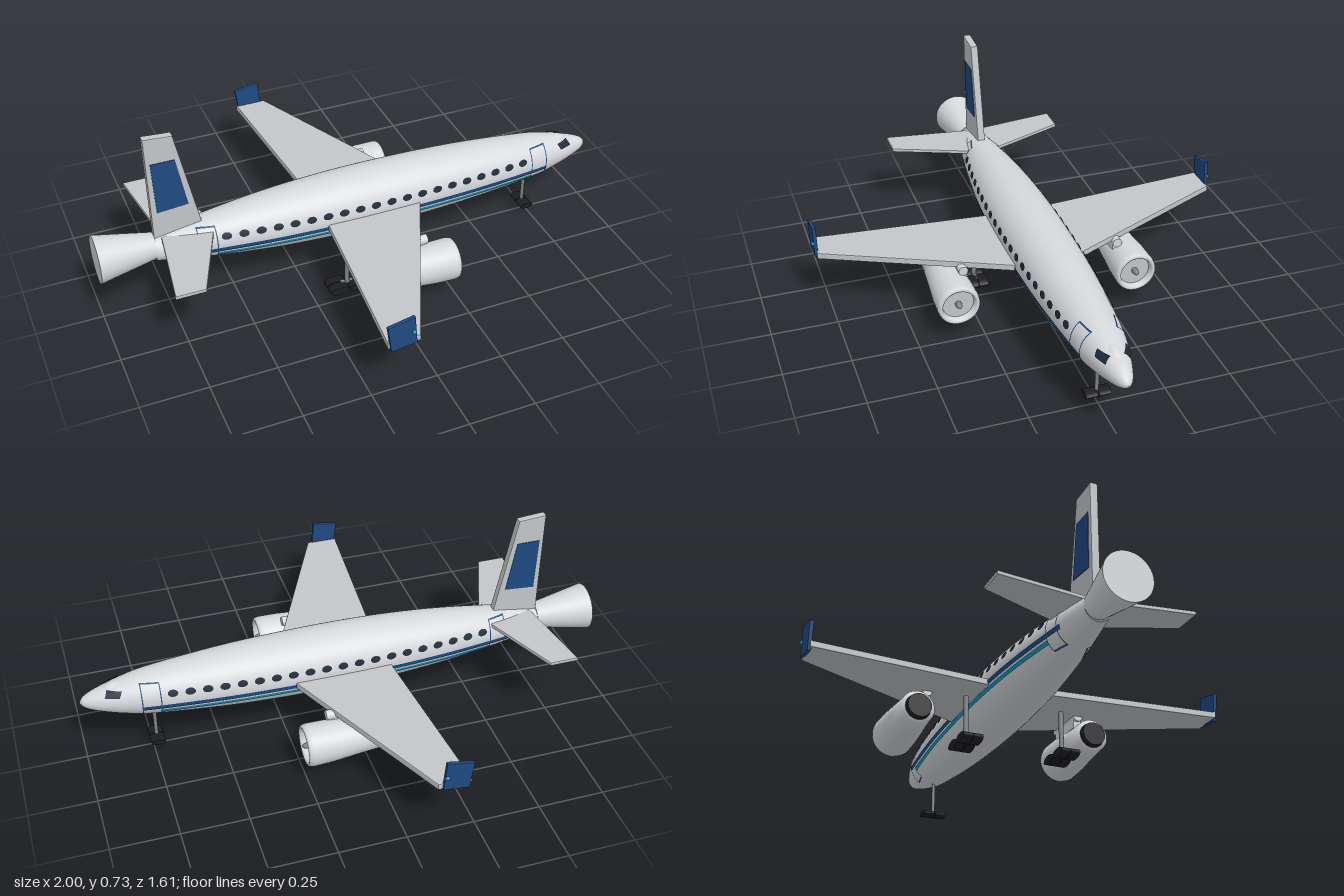
import * as THREE from 'three';

const mat = (name, color, side = THREE.FrontSide) => {
  const m = new THREE.MeshStandardMaterial({ color, side });
  m.name = name;
  return m;
};

export function createModel() {
  const root = new THREE.Group();
  root.name = 'airliner';
  const body = mat('body white', 0xd6d9dc);
  const wing = mat('wing grey', 0xc3c6ca);
  const blue = mat('livery blue', 0x1f4a82, THREE.DoubleSide);
  const teal = mat('accent teal', 0x1597bd, THREE.DoubleSide);
  const glass = mat('window glass', 0x1c2a3a, THREE.DoubleSide);
  const metal = mat('strut metal', 0x80848a);
  const black = mat('tyre black', 0x1d1e22);

  const add = (name, geo, material, x = 0, y = 0, z = 0, parent = root) => {
    const m = new THREE.Mesh(geo, material);
    m.name = name;
    m.position.set(x, y, z);
    parent.add(m);
    return m;
  };

  // Fuselage: profile (radius, x) turned around the long axis
  const CY = 0.262;
  const profile = new THREE.SplineCurve([
    [0.05, -0.79], [0.083, -0.58], [0.113, -0.3], [0.125, 0.02], [0.117, 0.4],
    [0.091, 0.72], [0.07, 0.84], [0.041, 0.94], [0.02, 0.985], [0, 1],
  ].map(([r, x]) => new THREE.Vector2(r, x))).getPoints(70);
  profile[profile.length - 1].x = 0;
  const radiusAt = (x) => {
    const i = Math.max(1, profile.findIndex((p) => p.y >= x));
    const a = profile[i - 1], b = profile[i];
    return THREE.MathUtils.lerp(a.x, b.x, (x - a.y) / (b.y - a.y));
  };
  const lathe = (pts, seg = 48) => new THREE.LatheGeometry(pts, seg).rotateZ(-Math.PI / 2);
  add('fuselage', lathe(profile), body, 0, CY, 0);

  // Flared tail cone with closed end
  add('tailCone', new THREE.CylinderGeometry(0.049, 0.09, 0.215, 40).rotateZ(-Math.PI / 2), body, -0.8925, 0.27, 0);

  // Cockpit hump
  add('cockpitHump', new THREE.SphereGeometry(1, 24, 16).scale(0.065, 0.033, 0.034), body, 0.855, 0.295, 0);

  // Lays a flat (x, y) geometry on the fuselage skin
  const wrap = (name, geo, material, side, lift = 0.003) => {
    const p = geo.attributes.position;
    for (let i = 0; i < p.count; i++) {
      const x = p.getX(i), dy = p.getY(i) - CY, r = radiusAt(x) + lift;
      const a = Math.asin(THREE.MathUtils.clamp(dy / r, -1, 1));
      p.setXYZ(i, x, CY + r * Math.sin(a), side * r * Math.cos(a));
    }
    geo.computeVertexNormals();
    return add(name, geo, material);
  };
  const strip = (x0, x1, y0, y1, nx, ny) =>
    new THREE.PlaneGeometry(x1 - x0, y1 - y0, nx, ny).translate((x0 + x1) / 2, (y0 + y1) / 2, 0);

  for (const s of [1, -1]) {
    wrap('blueStripe', strip(-0.655, 0.785, 0.236, 0.253, 60, 2), blue, s);
    wrap('tealStripe', strip(-0.57, 0.72, 0.215, 0.229, 60, 2), teal, s);
    for (let i = 0; i < 20; i++) {
      const g = new THREE.CircleGeometry(1, 16).scale(0.019, 0.013, 1).translate(-0.535 + i * 0.0635, 0.298, 0);
      wrap('cabinWindow', g, glass, s, 0.004);
    }
    // Door outlines
    for (const [x0, x1, h] of [[-0.635, -0.57, 0.07], [0.715, 0.783, 0.073]]) {
      for (const x of [x0, x1]) wrap('doorEdge', strip(x - 0.002, x + 0.002, CY - h, CY + h, 1, 20), blue, s, 0.002);
      for (const y of [CY - h, CY + h - 0.004]) wrap('doorSill', strip(x0, x1, y, y + 0.004, 8, 1), blue, s, 0.002);
    }
    // Cockpit pane
    const pane = strip(0, 1, 0, 1, 6, 4), p = pane.attributes.position;
    for (let i = 0; i < p.count; i++) {
      const u = p.getX(i), v = p.getY(i);
      p.setXY(i, 0.86 + 0.052 * u - 0.012 * v, 0.293 + 0.022 * v);
    }
    wrap('cockpitWindow', pane, glass, s, 0.004);
  }

  // Flat panels: planform points extruded with a slight bevel
  const panel = (pts, t, bevel = 0.004) => {
    const g = new THREE.ExtrudeGeometry(new THREE.Shape(pts.map((q) => new THREE.Vector2(...q))), {
      depth: t - 2 * bevel, bevelEnabled: bevel > 0, bevelSize: bevel, bevelOffset: -bevel,
      bevelThickness: bevel, bevelSegments: 2,
    });
    return g.translate(0, 0, -(t - 2 * bevel) / 2);
  };
  const flat = (pts, t, s) => panel(pts.map(([x, z]) => [x, z * s]), t).rotateX(Math.PI / 2);

  // Fin with blue patch on both faces
  add('tailFin', panel([[-0.785, 0.29], [-0.595, 0.29], [-0.605, 0.34], [-0.683, 0.728], [-0.79, 0.736]], 0.03), wing);
  const patch = [[-0.765, 0.42], [-0.648, 0.43], [-0.683, 0.63], [-0.772, 0.63]];
  for (const s of [1, -1]) add('finPatch', panel(patch, 0.003, 0), blue, 0, 0, s * 0.0155);

  for (const s of [1, -1]) {
    add('wing', flat([[0.275, 0], [-0.09, 0.79], [-0.21, 0.79], [-0.145, 0]], 0.025, s), wing, 0, 0.247, 0);
    add('tailplane', flat([[-0.56, 0.02], [-0.695, 0.357], [-0.805, 0.357], [-0.76, 0.02]], 0.015, s), wing, 0, 0.308, 0);
    add('winglet', panel([[-0.2, 0.225], [-0.105, 0.237], [-0.115, 0.352], [-0.215, 0.332]], 0.014, 0.002), blue, 0, 0, s * 0.791);
    add('wingLight', new THREE.SphereGeometry(0.009, 12, 8), teal, -0.118, 0.288, s * 0.797);

    // Engine: hollow-fronted nacelle, fan, hub, exhaust and pylon
    const engine = new THREE.Group();
    engine.name = 'engine';
    engine.position.set(0, 0.153, s * 0.345);
    engine.rotation.z = -0.02;
    root.add(engine);
    const shell = [[0, -0.045], [0.063, -0.045], [0.069, 0.05], [0.078, 0.16], [0.08, 0.235], [0.077, 0.25],
      [0.07, 0.255], [0.062, 0.25], [0.059, 0.235], [0.058, 0.225]].map((q) => new THREE.Vector2(...q));
    add('nacelle', lathe(shell, 40), body, 0, 0, 0, engine);
    add('fanDisc', new THREE.CircleGeometry(0.06, 32).rotateY(Math.PI / 2), wing, 0.23, 0, 0, engine);
    add('fanHub', new THREE.SphereGeometry(0.012, 16, 10).scale(2, 1, 1), metal, 0.238, 0, 0, engine);
    add('exhaust', new THREE.CylinderGeometry(0.05, 0.045, 0.03, 28).rotateZ(-Math.PI / 2), black, -0.052, 0, 0, engine);
    add('pylon', new THREE.CylinderGeometry(0.018, 0.018, 0.18, 20).rotateZ(Math.PI / 2), body, 0.07, 0.234, s * 0.302);
    add('pylonWeb', new THREE.BoxGeometry(0.16, 0.05, 0.03), body, 0.07, 0.215, s * 0.302);

    // Main landing gear
    add('mainStrut', new THREE.CylinderGeometry(0.009, 0.009, 0.17, 16), metal, -0.11, 0.112, s * 0.187);
    add('bogieBeam', new THREE.BoxGeometry(0.085, 0.01, 0.014), metal, -0.11, 0.028, s * 0.187);
    for (const x of [-0.15, -0.073])
      for (const dz of [-0.019, 0.019])
        add('mainWheel', new THREE.CylinderGeometry(1, 1, 0.036, 20).rotateX(Math.PI / 2).scale(0.039, 0.0165, 1),
          black, x, 0.0185, s * 0.187 + dz);
  }

  // Nose gear
  add('noseStrut', new THREE.CylinderGeometry(0.007, 0.007, 0.16, 16), metal, 0.735, 0.12, 0);
  for (const z of [-0.024, 0.024])
    add('noseWheel', new THREE.CylinderGeometry(1, 1, 0.044, 20).rotateX(Math.PI / 2).scale(0.027, 0.011, 1), black, 0.735, 0.04, z);

  return root;
}
